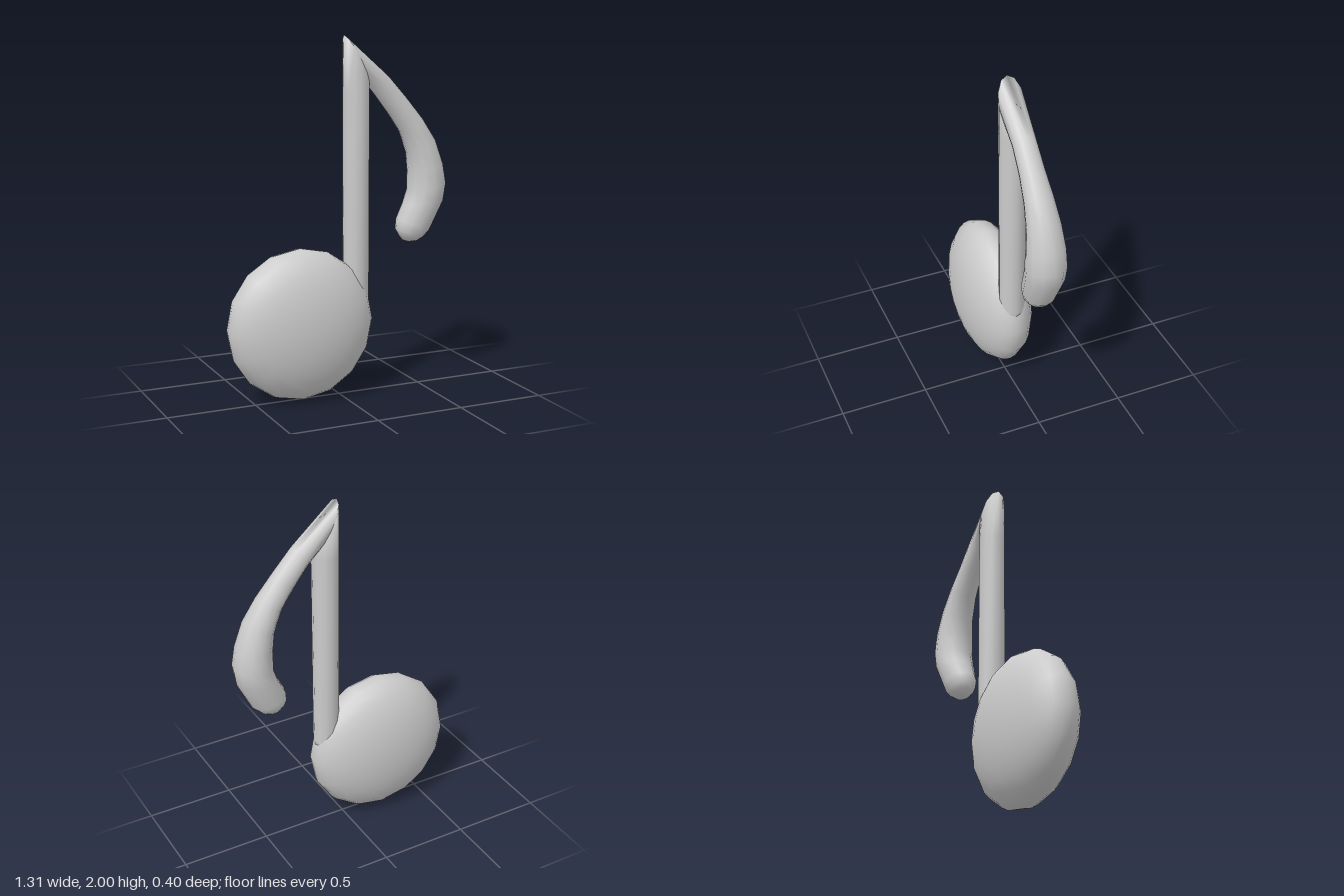
import * as THREE from 'three';

const material = new THREE.MeshStandardMaterial({ color: 0xcccccc });
const SIDES = 12;

// Closed tube through elliptical rings [outerX, outerY, innerX, innerY, halfDepth]
function loft(name, rings) {
  const positions = [], index = [];
  for (const [ox, oy, ix, iy, depth] of rings) {
    for (let s = 0; s < SIDES; s++) {
      const a = (s / SIDES) * Math.PI * 2;
      const t = (1 - Math.cos(a)) / 2;
      positions.push(ox + (ix - ox) * t, oy + (iy - oy) * t, Math.sin(a) * depth);
    }
  }
  for (let r = 0; r < rings.length - 1; r++) {
    for (let s = 0; s < SIDES; s++) {
      const n = (s + 1) % SIDES;
      const a = r * SIDES + s, b = r * SIDES + n;
      const c = a + SIDES, d = b + SIDES;
      index.push(a, b, c, b, d, c);
    }
  }
  // Fan caps on both ends
  const last = (rings.length - 1) * SIDES;
  for (let s = 1; s < SIDES - 1; s++) {
    index.push(0, s + 1, s, last, last + s, last + s + 1);
  }
  const geometry = new THREE.BufferGeometry();
  geometry.setAttribute('position', new THREE.Float32BufferAttribute(positions, 3));
  geometry.setIndex(index);
  geometry.computeVertexNormals();
  const mesh = new THREE.Mesh(geometry, material);
  mesh.name = name;
  return mesh;
}

export function createModel() {
  const group = new THREE.Group();
  group.name = 'musicNote';

  // Flattened round note head, poles facing front and back
  const headGeometry = new THREE.SphereGeometry(1, 16, 16);
  headGeometry.rotateX(Math.PI / 2);
  headGeometry.scale(0.425, 0.425, 0.2);
  const head = new THREE.Mesh(headGeometry, material);
  head.name = 'noteHead';
  head.position.set(-0.23, 0.43, 0);
  group.add(head);

  // Round stem, cut at a slant where it meets the flag
  group.add(loft('stem', [
    [0.03, 2.0, 0.176, 1.73, 0.073],
    [0.03, 1.7, 0.176, 1.7, 0.073],
    [0.03, 0.56, 0.176, 0.56, 0.073],
    [0.05, 0.5, 0.172, 0.5, 0.06],
  ].reverse().map(([ox, oy, ix, iy, d]) => [ix, iy, ox, oy, d])));

  // Curved flag, swelling towards its rounded tip
  group.add(loft('flag', [
    [0.03, 2.0, 0.176, 1.73, 0.073],
    [0.29, 1.78, 0.21, 1.68, 0.064],
    [0.4, 1.66, 0.3, 1.565, 0.068],
    [0.5, 1.54, 0.375, 1.46, 0.08],
    [0.58, 1.42, 0.42, 1.34, 0.093],
    [0.63, 1.28, 0.432, 1.24, 0.106],
    [0.65, 1.17, 0.43, 1.13, 0.11],
    [0.635, 1.07, 0.405, 1.06, 0.108],
    [0.55, 0.9, 0.36, 0.97, 0.092],
    [0.51, 0.862, 0.355, 0.915, 0.075],
    [0.475, 0.842, 0.372, 0.88, 0.05],
    [0.43, 0.84, 0.395, 0.852, 0.02],
  ]));

  // Make sure every surface faces outwards
  group.children.slice(1).forEach((mesh) => {
    const p = mesh.geometry.attributes.position, idx = mesh.geometry.index.array;
    const a = new THREE.Vector3(), b = new THREE.Vector3(), c = new THREE.Vector3();
    let volume = 0;
    for (let i = 0; i < idx.length; i += 3) {
      a.fromBufferAttribute(p, idx[i]);
      b.fromBufferAttribute(p, idx[i + 1]);
      c.fromBufferAttribute(p, idx[i + 2]);
      volume += a.dot(b.cross(c));
    }
    if (volume < 0) {
      mesh.geometry.setIndex(Array.from(idx).reverse());
      mesh.geometry.computeVertexNormals();
    }
  });
  return group;
}
